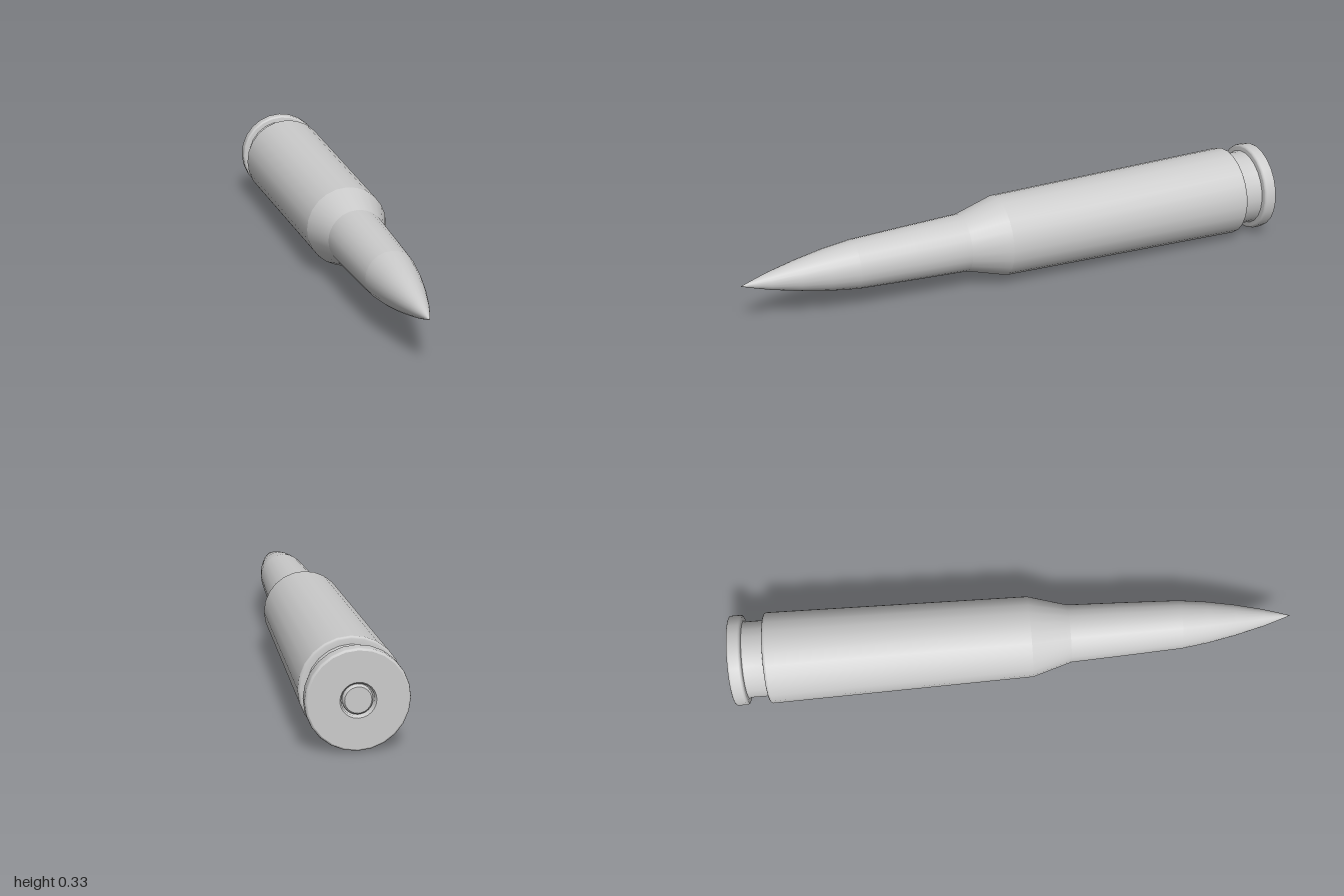
import * as THREE from 'three';

export function createModel() {
  const group = new THREE.Group();
  const material = new THREE.MeshStandardMaterial({ color: 0xcccccc });
  const R = 0.163;

  // Turns a profile of [radius, z] points, rear to front, about the long axis
  const turn = (name, profile) => {
    const points = profile.map(([r, z]) => new THREE.Vector2(r, z));
    const geometry = new THREE.LatheGeometry(points, 24).rotateX(Math.PI / 2);
    const mesh = new THREE.Mesh(geometry, material);
    mesh.name = name;
    mesh.position.y = R;
    group.add(mesh);
  };

  // Primer cap set in a shallow ring groove
  turn('primerFace', [[0, -0.998], [0.041, -0.998]]);
  turn('primerEdge', [[0.041, -0.998], [0.046, -0.993], [0.047, -0.985]]);
  turn('primerGroove', [[0.047, -0.985], [0.051, -0.985], [0.051, -0.994], [0.056, -1]]);

  // Rear disc, rim and extractor groove
  turn('headFace', [[0.056, -1], [0.154, -1]]);
  turn('rim', [[0.154, -1], [0.159, -0.998], [0.161, -0.992], [0.161, -0.96], [0.159, -0.955], [0.154, -0.953]]);
  turn('rimFront', [[0.154, -0.953], [0.139, -0.951]]);
  turn('extractorGroove', [[0.139, -0.951], [0.136, -0.946], [0.136, -0.882], [0.139, -0.877]]);
  turn('bodyRear', [[0.139, -0.877], [0.156, -0.877], [0.161, -0.874], [R, -0.868]]);

  // Tapered case and its shoulder
  turn('caseBody', [[R, -0.868], [0.145, 0.06]]);
  turn('shoulder', [[0.145, 0.06], [0.104, 0.2]]);

  // Neck and pointed tip
  turn('neck', [[0.104, 0.2], [0.096, 0.4], [0.087, 0.6]]);
  turn('tip', [[0.087, 0.6], [0.074, 0.7], [0.055, 0.8], [0.031, 0.9], [0.016, 0.95], [0, 1]]);

  return group;
}
